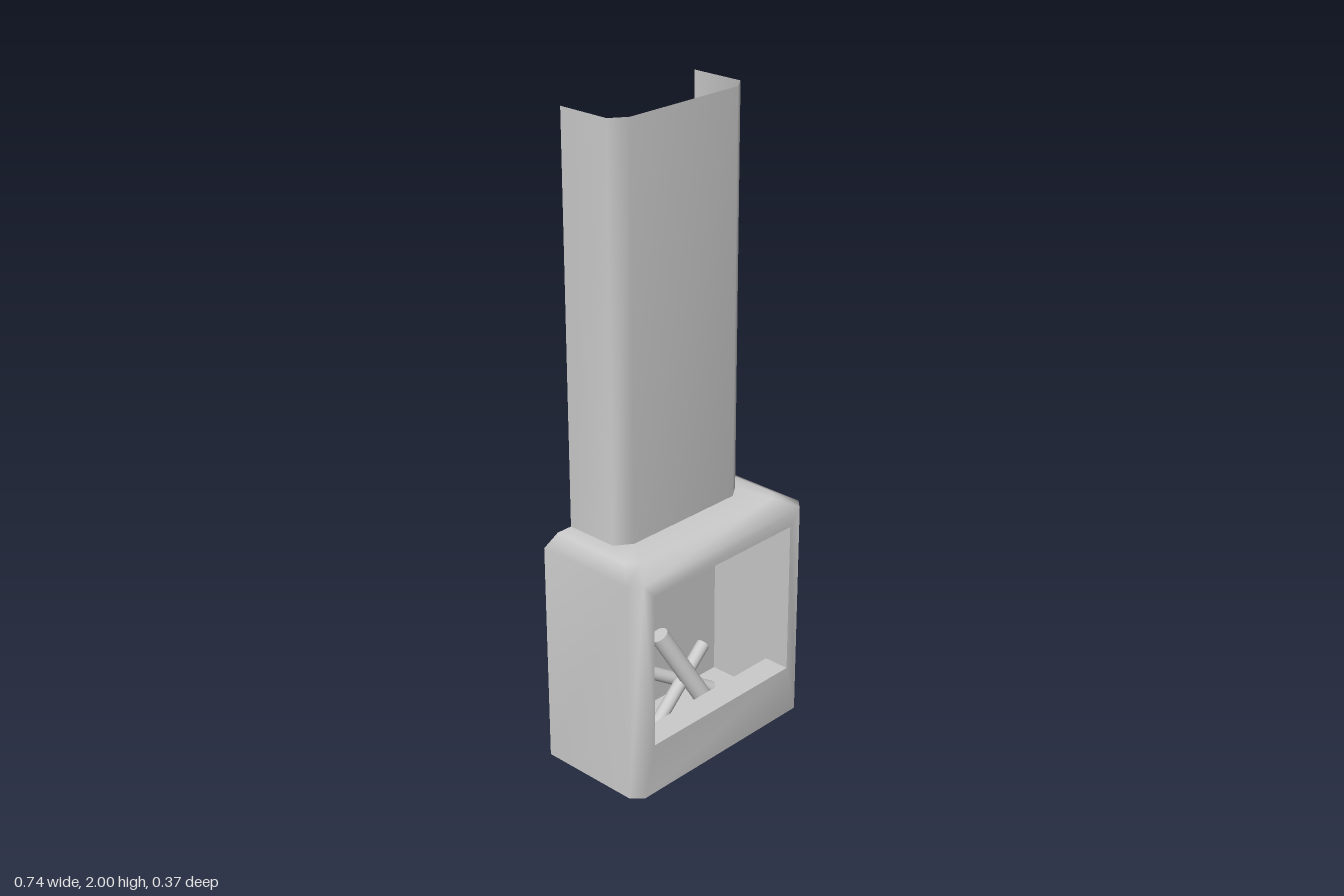
import * as THREE from 'three';

const material = new THREE.MeshStandardMaterial({ color: 0xcccccc, side: THREE.DoubleSide });
const BACK = -0.185;

// U-shaped outline, open at the back, with chamfered front corners
const outline = (w, front, cx, cz, y) => [
  [-w, y, BACK], [-w, y, front - cz], [-w + cx, y, front],
  [w - cx, y, front], [w, y, front - cz], [w, y, BACK],
];

function build(points, quads) {
  const geo = new THREE.BufferGeometry();
  geo.setAttribute('position', new THREE.Float32BufferAttribute(points.flat(), 3));
  geo.setIndex(quads.flatMap(([a, b, c, d]) => [a, b, c, a, c, d]));
  geo.computeVertexNormals();
  return geo;
}

// Joins successive outlines with quads; skip(row, column) leaves a gap
function loft(rows, skip = () => false) {
  const n = rows[0].length;
  const quads = [];
  for (let r = 0; r < rows.length - 1; r++)
    for (let i = 0; i < n - 1; i++)
      if (!skip(r, i)) quads.push([r * n + i, r * n + i + 1, (r + 1) * n + i + 1, (r + 1) * n + i]);
  return { points: rows.flat(), quads };
}

function add(parent, name, geo) {
  const mesh = new THREE.Mesh(geo, material);
  mesh.name = name;
  parent.add(mesh);
  return mesh;
}

export function createModel() {
  const group = new THREE.Group();
  group.name = 'fireplace';

  const open = { x: 0.295, bottom: 0.165, top: 0.66, front: 0.185 };
  const flueOutline = (y) => outline(0.262, 0.025, 0.05, 0.035, y);

  // Surround: chamfered shell whose front panel frames the opening
  const shell = loft([
    outline(0.37, 0.185, 0.033, 0.033, 0),
    outline(0.37, 0.185, 0.033, 0.033, 0.71),
    outline(0.315, 0.122, 0.03, 0.03, 0.74),
    flueOutline(0.74),
  ], (r, i) => r === 0 && i === 2);
  const start = shell.points.length;
  shell.points.push(
    [-open.x, open.bottom, open.front], [open.x, open.bottom, open.front],
    [open.x, open.top, open.front], [-open.x, open.top, open.front],
  );
  const corners = [2, 3, 9, 8];
  for (let i = 0; i < 4; i++) {
    const j = (i + 1) % 4;
    shell.quads.push([corners[i], corners[j], start + j, start + i]);
  }
  add(group, 'surround', build(shell.points, shell.quads));

  // Chimney breast
  const flue = loft([flueOutline(0.74), flueOutline(2)]);
  add(group, 'chimney', build(flue.points, flue.quads));

  // Firebox: profile (z, y) with a sunken hearth behind a front ledge
  const firebox = new THREE.Group();
  firebox.name = 'firebox';
  group.add(firebox);
  const profile = [
    [open.front, open.top], [-0.12, open.top], [-0.12, 0.04],
    [0.1, 0.04], [0.1, open.bottom], [open.front, open.bottom],
  ];
  const panels = ['fireboxTop', 'fireboxBack', 'hearthFloor', 'hearthRiser', 'frontLedge'];
  panels.forEach((name, i) => {
    const [[z0, y0], [z1, y1]] = [profile[i], profile[i + 1]];
    add(firebox, name, build([
      [-open.x, y0, z0], [open.x, y0, z0], [open.x, y1, z1], [-open.x, y1, z1],
    ], [[3, 2, 1, 0]]));
  });
  const sideShape = new THREE.Shape(profile.map(([z, y]) => new THREE.Vector2(-z, y)));
  for (const s of [-1, 1]) {
    const side = add(firebox, s > 0 ? 'leftFireboxWall' : 'rightFireboxWall', new THREE.ShapeGeometry(sideShape));
    side.rotation.y = Math.PI / 2;
    side.position.x = s * open.x;
  }

  // Stacked logs: upper end, lower end, radius
  const logs = [
    [[-0.085, 0.372, 0.0], [0.085, 0.035, 0.095], 0.029],
    [[-0.145, 0.25, -0.105], [0.15, 0.08, 0.0], 0.021],
    [[0.11, 0.255, 0.0], [-0.18, 0.1, 0.06], 0.021],
  ];
  const pile = new THREE.Group();
  pile.name = 'logs';
  group.add(pile);
  for (const [top, bottom, radius] of logs) {
    const a = new THREE.Vector3(...top);
    const b = new THREE.Vector3(...bottom);
    const log = add(pile, 'log', new THREE.CylinderGeometry(radius, radius, a.distanceTo(b), 16));
    log.position.copy(a).add(b).multiplyScalar(0.5);
    log.quaternion.setFromUnitVectors(new THREE.Vector3(0, 1, 0), a.sub(b).normalize());
  }
  return group;
}
